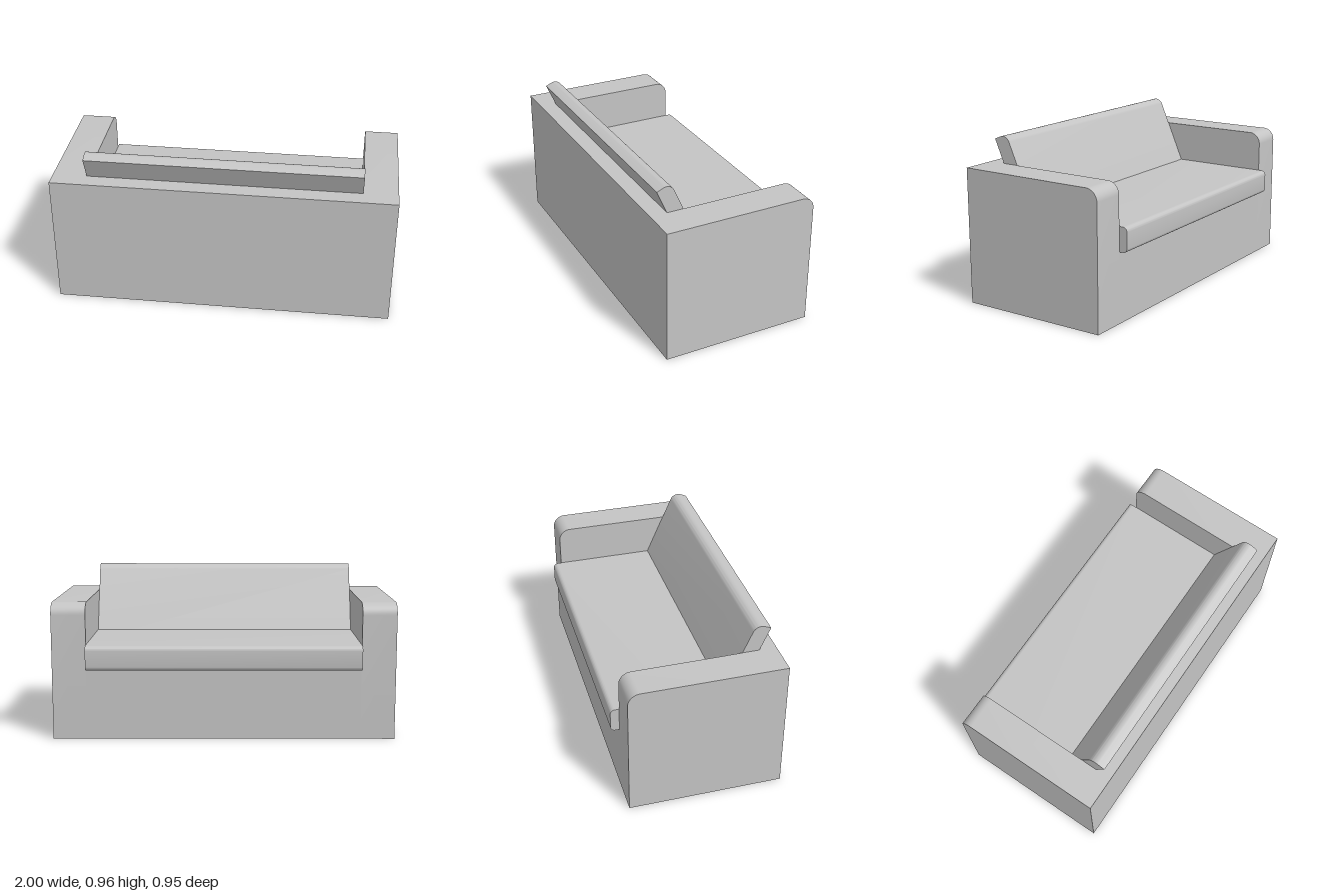
import * as THREE from 'three';
import { toCreasedNormals } from 'three/addons/utils/BufferGeometryUtils.js';

// Side profile from [z, y, cornerRadius] points, extruded across the width.
function profileMesh(name, points, width, centreX, material) {
  const shape = new THREE.Shape();
  const pts = points.map(([z, y]) => new THREE.Vector2(-z, y));
  const n = pts.length;
  pts.forEach((p, i) => {
    const r = points[i][2] || 0;
    const toward = (q, d) => p.clone().add(q.clone().sub(p).setLength(d));
    const prev = pts[(i + n - 1) % n], next = pts[(i + 1) % n];
    const a = r ? toward(prev, r) : p;
    if (i === 0) shape.moveTo(a.x, a.y); else shape.lineTo(a.x, a.y);
    if (r) {
      const b = toward(next, r), c = toward(prev, r * 0.448), d = toward(next, r * 0.448);
      shape.bezierCurveTo(c.x, c.y, d.x, d.y, b.x, b.y);
    }
  });
  shape.closePath();
  const geo = new THREE.ExtrudeGeometry(shape, { depth: width, bevelEnabled: false, curveSegments: 10 });
  geo.rotateY(Math.PI / 2);
  geo.translate(centreX - width / 2, 0, 0);
  const mesh = new THREE.Mesh(toCreasedNormals(geo, 0.6), material);
  mesh.name = name;
  return mesh;
}

export function createModel() {
  const sofa = new THREE.Group();
  sofa.name = 'sofa';
  const fabric = new THREE.MeshStandardMaterial({ color: 0xc4c4c4 });
  fabric.name = 'greyFabric';

  // Armrests run the full depth, rounded at the seating side
  for (const [name, x] of [['leftArm', 0.9], ['rightArm', -0.9]]) {
    sofa.add(profileMesh(name,
      [[0.475, 0], [-0.425, 0], [-0.425, 0.8, 0.07], [0.475, 0.8]], 0.2, x, fabric));
  }

  // Base and back wall in one L-shaped piece
  sofa.add(profileMesh('baseAndBackWall',
    [[0.475, 0], [-0.425, 0], [-0.425, 0.43], [0.28, 0.43], [0.28, 0.8], [0.475, 0.8]], 1.6, 0, fabric));

  // Seat cushion overhangs the base
  sofa.add(profileMesh('seatCushion',
    [[0.3, 0.412], [-0.475, 0.412, 0.026], [-0.475, 0.556, 0.026], [0.3, 0.556]], 1.6, 0, fabric));

  // Leaning back cushion with one rounded top edge
  sofa.add(profileMesh('backCushion',
    [[0.244, 0.5], [0.146, 0.5], [0.352, 0.973, 0.05], [0.435, 0.937]], 1.6, 0, fabric));

  return sofa;
}
